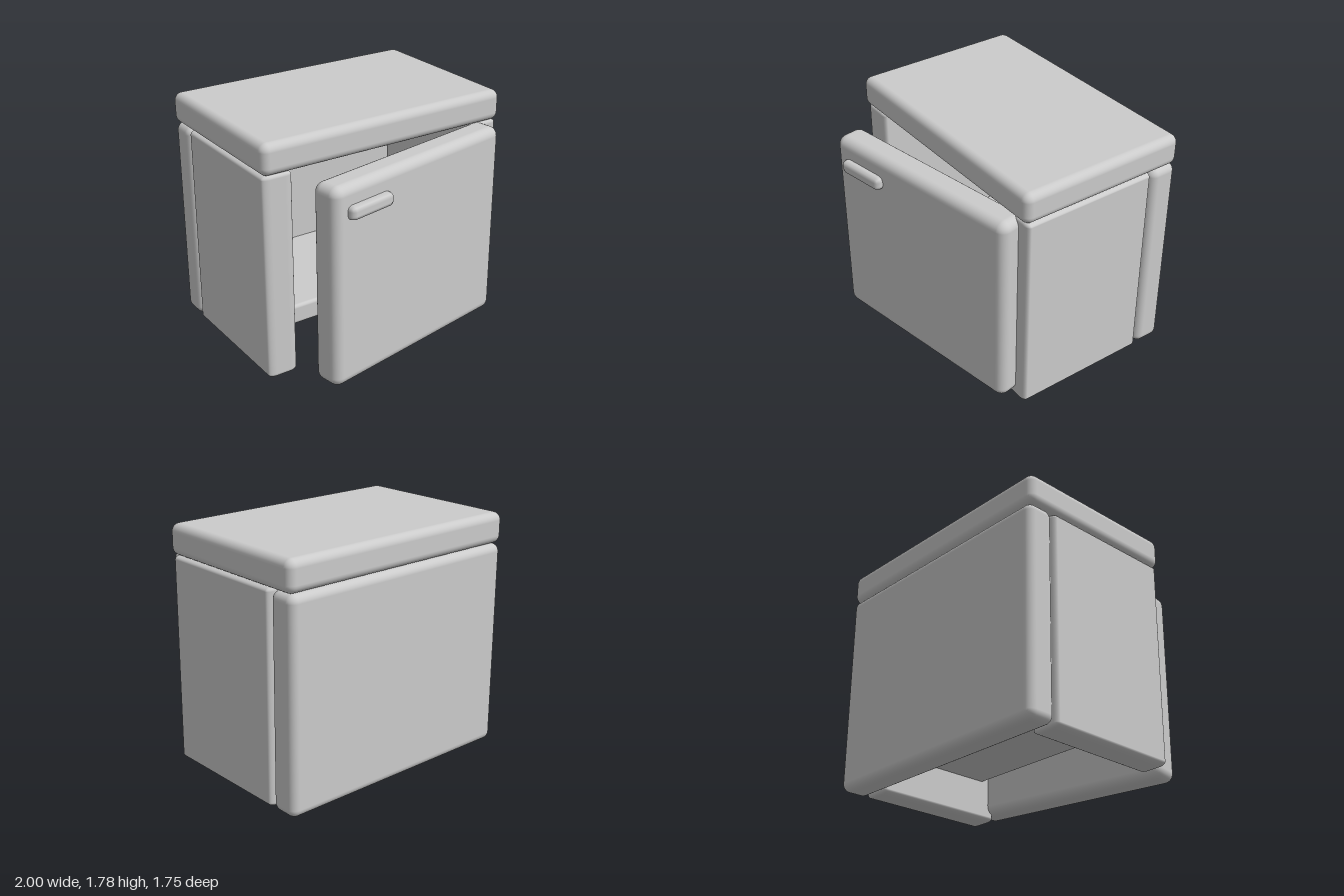
import * as THREE from 'three';
import { RoundedBoxGeometry } from 'three/addons/geometries/RoundedBoxGeometry.js';

const material = new THREE.MeshStandardMaterial({ color: 0xcccccc });

// Rounded slab; squash < 1 tightens the rounding along y and z only
function slab(name, [w, h, d], [x, y, z], radius = 0.06, segments = 4, squash = 1) {
  const geometry = new RoundedBoxGeometry(w, h / squash, d / squash, segments, radius);
  geometry.scale(1, squash, squash);
  const mesh = new THREE.Mesh(geometry, material);
  mesh.name = name;
  mesh.position.set(x, y, z);
  return mesh;
}

export function createModel() {
  const cabinet = new THREE.Group();
  cabinet.name = 'cabinet';

  // Carcass: top, back and two side walls, open underneath
  cabinet.add(slab('top', [2, 0.23, 1.31], [0, 1.665, -0.22]));
  cabinet.add(slab('backPanel', [1.98, 1.55, 0.22], [0, 0.775, -0.77]));
  for (const side of [1, -1]) {
    cabinet.add(slab(side > 0 ? 'leftSide' : 'rightSide',
      [0.23, 1.55, 1.06], [side * 0.875, 0.778, -0.12], 0.06, 4, 0.5));
  }

  // Raised floor between the side walls
  cabinet.add(slab('floor', [1.54, 0.15, 0.96], [0, 0.375, -0.19], 0.025, 3));

  // Door standing ajar, with a chamfered handle near the free edge
  const door = new THREE.Group();
  door.name = 'door';
  door.position.set(0.08, 0.8, 0.585);
  door.rotation.y = 0.18;
  door.add(slab('doorPanel', [1.655, 1.5, 0.23], [0, 0, 0], 0.07));
  door.add(slab('handle', [0.39, 0.1, 0.1], [-0.525, 0.56, 0.12], 0.035, 1));
  cabinet.add(door);

  return cabinet;
}
